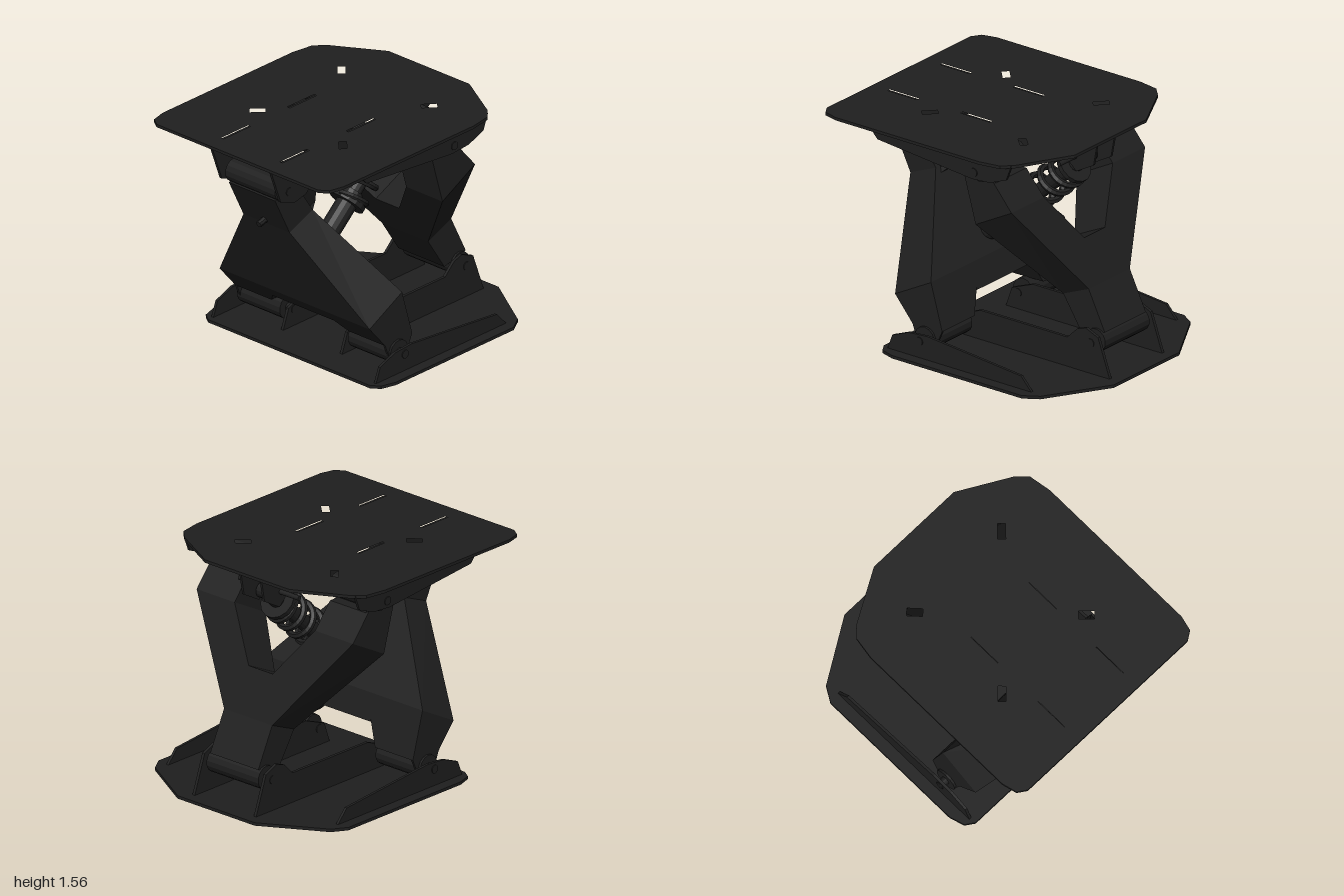
import * as THREE from 'three';

const black = new THREE.MeshStandardMaterial({ color: 0x1f1f1f, flatShading: true });
black.name = 'matte black';
const TILT = 0.028;

function add(parent, name, geometry) {
  const mesh = new THREE.Mesh(geometry, black);
  mesh.name = name;
  parent.add(mesh);
  return mesh;
}

const toShape = (pts) => new THREE.Shape(pts.map(([x, y]) => new THREE.Vector2(x, y)));

// Flat profile in x/y, given a thickness along z and centred on z
function profile(parent, name, pts, z, width) {
  const g = new THREE.ExtrudeGeometry(toShape(pts), { depth: width, bevelEnabled: false });
  return add(parent, name, g.translate(0, 0, z - width / 2));
}

// Cylinder between two points
function rod(parent, name, a, b, radius, sides = 14) {
  const p = new THREE.Vector3(...a), q = new THREE.Vector3(...b);
  const d = q.clone().sub(p);
  const mesh = add(parent, name, new THREE.CylinderGeometry(radius, radius, d.length(), sides));
  mesh.position.copy(p).add(q).multiplyScalar(0.5);
  mesh.quaternion.setFromUnitVectors(new THREE.Vector3(0, 1, 0), d.normalize());
}

// Rectangular cut-out, optionally turned
function slot(x, z, length, width, angle = 0) {
  const c = Math.cos(angle), s = Math.sin(angle);
  return new THREE.Path([[-1, -1], [-1, 1], [1, 1], [1, -1]].map(([u, v]) => {
    const a = u * length / 2, b = v * width / 2;
    return new THREE.Vector2(x + a * c - b * s, z + a * s + b * c);
  }));
}

// Slightly tilted deck from a mirrored half outline
function deck(parent, name, half, holes, y) {
  const shape = toShape([...half, ...half.map(([x, z]) => [x, -z]).reverse()]);
  shape.holes.push(...holes);
  const g = new THREE.ExtrudeGeometry(shape, { depth: 0.02, bevelEnabled: false });
  const mesh = add(parent, name, g.rotateX(-Math.PI / 2));
  mesh.position.y = y;
  mesh.rotation.z = TILT;
}

// Link side profile: [front x, front y, back x, back y] at each fold, top to bottom
const FOLDS = [
  [0.31, 1.35, 0.07, 1.34],
  [0.45, 1.19, 0.16, 1.03],
  [0.70, 0.59, 0.495, 0.50],
  [0.83, 0.33, 0.64, 0.28],
];

// One straight section of a link: outline in (z, t), warped between two folds
function section(parent, name, i, pts) {
  const g = new THREE.ExtrudeGeometry(toShape(pts), { depth: 1, bevelEnabled: false });
  const p = g.attributes.position, A = FOLDS[i], B = FOLDS[i + 1];
  const mix = THREE.MathUtils.lerp;
  for (let k = 0; k < p.count; k++) {
    const z = p.getX(k), t = p.getY(k), w = p.getZ(k);
    const x = mix(mix(A[2], B[2], t), mix(A[0], B[0], t), w);
    const y = mix(mix(A[3], B[3], t), mix(A[1], B[1], t), w);
    p.setXYZ(k, x, y, z);
  }
  g.computeVertexNormals();
  add(parent, name, g);
}

// Y-shaped link, open = deep crotch for the damper, otherwise webbed
function makeLink(name, open) {
  const link = new THREE.Group();
  link.name = name;
  const cheek = [[0.31, 1.35], [0.28, 1.43], [0.23, 1.48], [0.16, 1.48], [0.11, 1.43], [0.07, 1.34]];
  for (const s of [1, -1]) {
    const inner = open ? [[0.335, 1], [0.335, 0]] : [[0.25, 1], [0.25, 0.56], [0.335, 0]];
    const arm = [[0.65, 0], [0.65, 1], ...inner];
    section(link, 'linkArm', 0, arm.map(([z, t]) => [z * s, t]));
    profile(link, 'armCheek', cheek, 0.642 * s, 0.016);
    rod(link, 'armPivotTube', [0.2, 1.42, 0.295 * s], [0.2, 1.42, 0.665 * s], 0.08);
    rod(link, 'armPivotPin', [0.2, 1.42, 0.24 * s], [0.2, 1.42, 0.72 * s], 0.028);
  }
  const crotch = open ? [[-0.335, 0], [-0.1, 0.53], [0.1, 0.53], [0.335, 0]] : [];
  section(link, 'linkBody', 1, [[0.65, 0], [0.2, 1], [-0.2, 1], [-0.65, 0], ...crotch]);
  if (!open) section(link, 'linkWeb', 0, [[-0.26, 0.45], [0.26, 0.45], [0.26, 1], [-0.26, 1]]);
  section(link, 'linkTail', 2, [[0.2, 0], [0.2, 1], [-0.2, 1], [-0.2, 0]]);
  rod(link, 'tailPivotTube', [0.77, 0.265, -0.215], [0.77, 0.265, 0.215], 0.078);
  rod(link, 'tailPivotPin', [0.77, 0.265, -0.27], [0.77, 0.265, 0.27], 0.028);
  return link;
}

// Upright bracket plates that carry the link pivots; reach lengthens the tall ear
function makeBrackets(name, reach) {
  const group = new THREE.Group();
  group.name = name;
  const inner = [[-0.34, 0.02], [-0.29, 0.16], [-0.12, 0.23], [0.58, 0.25], [0.66, 0.33],
    [0.73 + reach / 2, 0.355], [0.83 + reach, 0.315], [0.925 + reach, 0.055]];
  const outer = [[-0.5, 0.015], [-0.46, 0.12], [-0.33, 0.175], [-0.18, 0.19],
    [0.58, 0.14], [0.67, 0.045]];
  for (const s of [1, -1]) {
    profile(group, 'innerBracket', inner, 0.255 * s, 0.02);
    profile(group, 'outerBracket', outer, 0.705 * s, 0.018);
  }
  return group;
}

// Turns a lower part into its upper counterpart
function flip(part, shift) {
  part.rotation.z = Math.PI;
  part.position.set(shift, 1.56, 0);
  return part;
}

function makeDamper() {
  const damper = new THREE.Group();
  damper.name = 'damper';
  const from = new THREE.Vector3(-0.3, 0.62, 0), to = new THREE.Vector3(0.5, 1.36, 0);
  const at = (t) => from.clone().lerp(to, t).toArray();
  rod(damper, 'damperBody', at(0.04), at(0.42), 0.07);
  rod(damper, 'damperCollar', at(0.1), at(0.14), 0.085);
  rod(damper, 'damperShaft', at(0.4), at(1), 0.05);
  rod(damper, 'lowerSpringSeat', at(0.34), at(0.37), 0.12);
  rod(damper, 'upperSpringSeat', at(0.88), at(0.91), 0.12);
  rod(damper, 'lowerEye', [-0.31, 0.61, -0.1], [-0.31, 0.61, 0.1], 0.045);
  rod(damper, 'upperEye', [0.5, 1.37, -0.07], [0.5, 1.37, 0.07], 0.05);
  rod(damper, 'upperMountPin', [0.5, 1.4, -0.25], [0.5, 1.4, 0.25], 0.016);

  // Coil spring around the shaft
  const axis = to.clone().sub(from).normalize();
  const side = new THREE.Vector3(-axis.y, axis.x, 0);
  const coil = [];
  for (let i = 0; i <= 60; i++) {
    const a = (i / 60) * Math.PI * 2 * 5;
    coil.push(from.clone().lerp(to, 0.36 + 0.53 * i / 60)
      .addScaledVector(side, 0.105 * Math.cos(a))
      .add(new THREE.Vector3(0, 0, 0.105 * Math.sin(a))));
  }
  add(damper, 'coilSpring', new THREE.TubeGeometry(new THREE.CatmullRomCurve3(coil), 120, 0.022, 6));

  // Ears holding the upper and lower eyes
  const upperEar = [[0.38, 1.53], [0.68, 1.54], [0.65, 1.38], [0.51, 1.3], [0.43, 1.37]];
  const lowerEar = [[-0.42, 0.72], [-0.3, 0.66], [-0.26, 0.6], [-0.29, 0.55], [-0.36, 0.5]];
  for (const s of [1, -1]) {
    profile(damper, 'upperEar', upperEar, 0.085 * s, 0.016);
    profile(damper, 'lowerEar', lowerEar, 0.095 * s, 0.016);
  }
  return damper;
}

// Bump stop hood, narrowing towards its free end
function makeHood(parent) {
  const hood = profile(parent, 'bumpStopHood', [[-0.74, 0.99], [-0.53, 1.01], [-0.45, 1.08],
    [-0.39, 1.17], [-0.385, 1.235], [-0.45, 1.255], [-0.6, 1.235], [-0.72, 1.2]], 0, 0.39);
  const p = hood.geometry.attributes.position;
  for (let k = 0; k < p.count; k++) {
    const t = THREE.MathUtils.clamp((p.getX(k) + 0.6) / 0.215, 0, 1);
    p.setZ(k, p.getZ(k) * (1 - 0.55 * t * t));
  }
  hood.geometry.computeVertexNormals();
}

export function createModel() {
  const model = new THREE.Group();
  model.name = 'suspensionBase';

  // Lower and upper decks, slotted for the bracket tabs
  const lower = [[-0.54, 0.7], [-0.5, 0.76], [-0.4, 0.79], [0.65, 0.79], [0.75, 0.73], [1, 0.32]];
  const upper = [[-1, 0.7], [-0.96, 0.76], [-0.86, 0.785], [0.3, 0.785], [0.45, 0.76],
    [0.52, 0.69], [0.71, 0.35]];
  const lowerSlots = [], upperSlots = [];
  for (const s of [1, -1]) {
    lowerSlots.push(slot(0.16, 0.255 * s, 0.24, 0.022), slot(0.75, 0.255 * s, 0.24, 0.022));
    upperSlots.push(
      slot(-0.75, 0.255 * s, 0.24, 0.022), slot(-0.16, 0.255 * s, 0.24, 0.022),
      slot(-0.44, 0.37 * s, 0.1, 0.05, -s * 0.8), slot(0.32, 0.38 * s, 0.1, 0.05, s * 0.75));
  }
  deck(model, 'lowerDeck', lower, lowerSlots, 0.015);
  deck(model, 'upperDeck', upper, upperSlots, 1.517);

  // Pivot brackets
  model.add(makeBrackets('lowerBrackets', 0), flip(makeBrackets('upperBrackets', 0.055), 0));

  // Parallel links
  model.add(makeLink('forwardLink', true), flip(makeLink('rearLink', false), -0.04));

  // Hood and bolt on the rear link
  makeHood(model);
  rod(model, 'linkBolt', [-0.81, 0.985, 0], [-0.7, 1.02, 0], 0.022, 8);

  model.add(makeDamper());
  return model;
}
